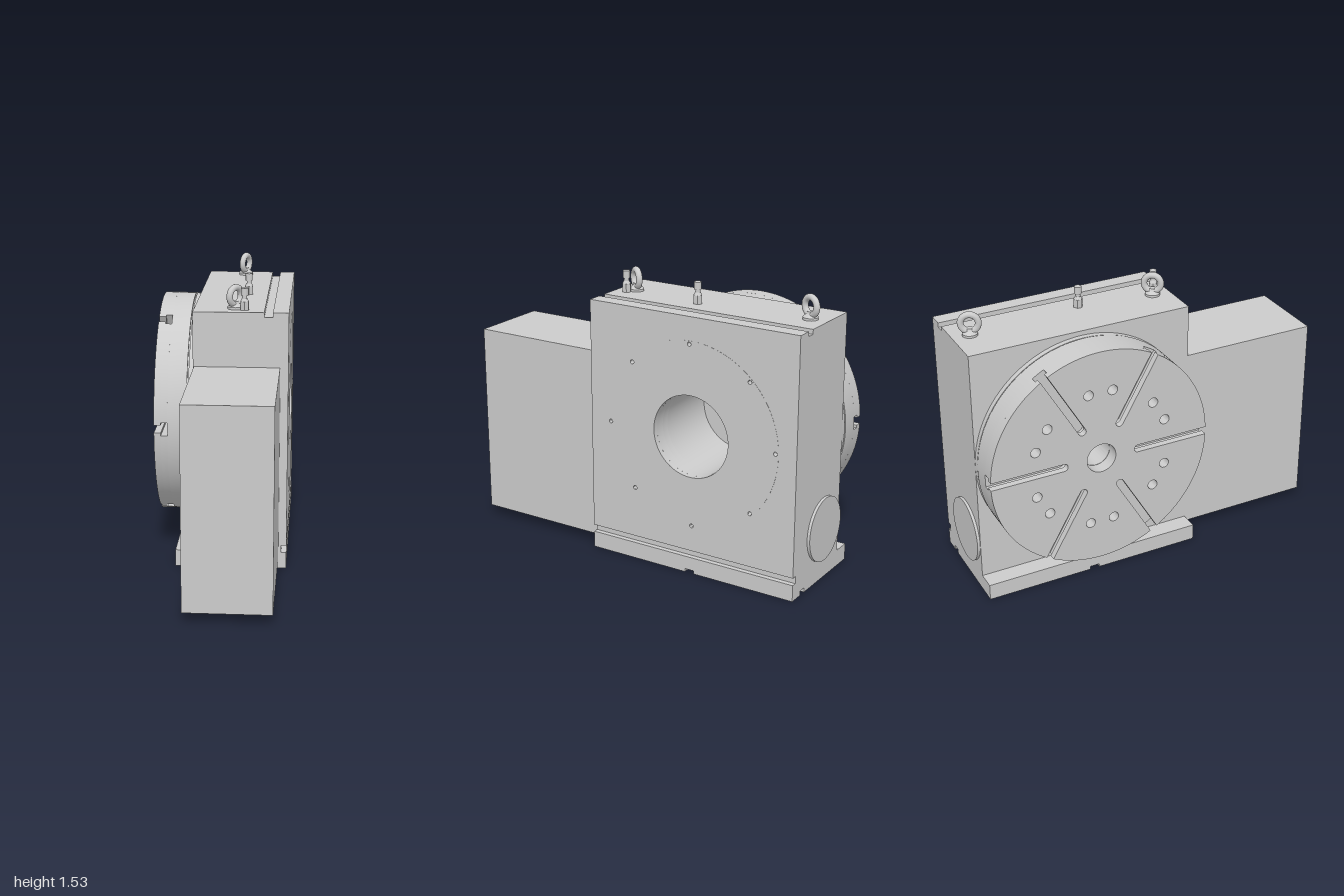
import * as THREE from 'three';
import { toCreasedNormals } from 'three/addons/utils/BufferGeometryUtils.js';

const material = new THREE.MeshStandardMaterial({ color: 0xcccccc });
const AXIS = [0.375, 0.765]; // spindle axis: (-z, y)

function add(group, name, geometry, x = 0, y = 0, z = 0) {
  const mesh = new THREE.Mesh(geometry, material);
  mesh.name = name;
  mesh.position.set(x, y, z);
  group.add(mesh);
  return mesh;
}

// Extrudes a shape drawn in (-z, y) from x0 to x1.
function slab(group, name, shape, x0, x1, segments = 24) {
  const g = new THREE.ExtrudeGeometry(shape, { depth: x1 - x0, bevelEnabled: false, curveSegments: segments });
  g.rotateY(Math.PI / 2);
  return add(group, name, toCreasedNormals(g, 0.5), x0);
}

function circle(r, cx = AXIS[0], cy = AXIS[1], Type = THREE.Shape) {
  return new Type().absarc(cx, cy, r, 0, Math.PI * 2, false);
}
const hole = (r, cx, cy) => circle(r, cx, cy, THREE.Path);

function polarHoles(shape, angles, radius, r) {
  for (const a of angles) {
    shape.holes.push(hole(r, AXIS[0] + radius * Math.cos(a), AXIS[1] + radius * Math.sin(a)));
  }
}

// Side outline of the body; the notch is the cross keyway in the underside.
function outline(y0, y1, bore = 0) {
  const s = new THREE.Shape();
  s.moveTo(-0.24, y0);
  if (y0 < 0.018) {
    s.lineTo(0.345, y0).lineTo(0.345, 0.018).lineTo(0.4, 0.018).lineTo(0.4, y0);
  }
  s.lineTo(0.985, y0).lineTo(0.985, y1).lineTo(-0.24, y1).closePath();
  if (bore) s.holes.push(hole(bore));
  return s;
}

// Face plate outline with six radial slots of half width w.
function slottedDisc(R, w) {
  const s = new THREE.Shape();
  const d = Math.asin(w / R), step = Math.PI / 3, inner = 0.21;
  for (let k = 0; k < 6; k++) {
    const a = k * step;
    s.absarc(AXIS[0], AXIS[1], R, a - step + d, a - d, false);
    s.absarc(AXIS[0] + inner * Math.cos(a), AXIS[1] + inner * Math.sin(a), w, a - Math.PI / 2, a + Math.PI / 2, true);
  }
  s.closePath();
  return s;
}

function eyeBolt(x, z, turn) {
  const g = new THREE.Group();
  g.name = 'eyeBolt';
  const profile = [[0, 0], [0.04, 0], [0.04, 0.012], [0.033, 0.02], [0.02, 0.028], [0.016, 0.04], [0, 0.04]];
  const collar = new THREE.LatheGeometry(profile.map(p => new THREE.Vector2(...p)), 24);
  add(g, 'eyeBoltCollar', toCreasedNormals(collar, 0.7));
  add(g, 'eyeBoltRing', new THREE.TorusGeometry(0.045, 0.017, 14, 36), 0, 0.067);
  g.position.set(x, 1.4, z);
  g.rotation.y = turn;
  return g;
}

function fitting(x, z) {
  const g = new THREE.Group();
  g.name = 'airFitting';
  const part = (name, r0, r1, y0, y1, n) => add(g, name,
    toCreasedNormals(new THREE.CylinderGeometry(r1, r0, y1 - y0, n), 0.5), 0, (y0 + y1) / 2);
  part('fittingHex', 0.025, 0.025, 0, 0.045, 6);
  part('fittingShoulder', 0.022, 0.014, 0.045, 0.06, 20);
  part('fittingNeck', 0.013, 0.013, 0.06, 0.075, 20);
  part('fittingTip', 0.019, 0.019, 0.075, 0.115, 20);
  g.position.set(x, 1.4, z);
  return g;
}

export function createModel() {
  const model = new THREE.Group();
  model.name = 'rotaryTable';

  // Body in slices along x, leaving the long T-grooves open
  const body = new THREE.Group();
  body.name = 'body';
  model.add(body);
  slab(body, 'baseFlange', outline(0, 0.09), -0.245, -0.145);
  slab(body, 'bodyMain', outline(0, 1.4, 0.222), -0.145, 0.225);
  slab(body, 'bodyGrooveSlice', outline(0.025, 1.375, 0.222), 0.225, 0.27);
  slab(body, 'bodyOuterSlice', outline(0, 1.4, 0.222), 0.27, 0.325);
  slab(body, 'bodyFootRail', outline(0, 0.09), 0.325, 0.353);
  slab(body, 'bodySidePlate', outline(0.13, 1.4, 0.51), 0.325, 0.353, 32);

  // Round bearing cover with screw holes and bore
  const cover = circle(0.51);
  cover.holes.push(hole(0.222));
  polarHoles(cover, Array.from({ length: 8 }, (_, i) => i * Math.PI / 4 + 0.02), 0.492, 0.011);
  slab(model, 'bearingCover', cover, 0.325, 0.354, 32);

  // Motor housing and round inspection cap on the rear
  add(model, 'motorHousing', new THREE.BoxGeometry(0.45, 1.055, 0.76), 0.085, 0.5825, 0.62);
  const cap = new THREE.CylinderGeometry(0.175, 0.175, 0.015, 64);
  cap.rotateX(Math.PI / 2);
  add(model, 'inspectionCap', toCreasedNormals(cap, 0.5), 0.035, 0.285, -0.9925);

  // Face plate: slot necks, slot heads, solid back, shadow gap and seat ring
  const plate = new THREE.Group();
  plate.name = 'facePlate';
  model.add(plate);
  const holeAngles = [];
  for (let k = 0; k < 6; k++) {
    const mid = Math.PI / 6 + k * Math.PI / 3;
    holeAngles.push(mid - Math.PI / 18, mid + Math.PI / 18);
  }
  const R = 0.612;
  for (const [name, w, x0, x1] of [['slotNeckLayer', 0.021, -0.355, -0.318], ['slotHeadLayer', 0.036, -0.318, -0.283]]) {
    const s = slottedDisc(R, w);
    s.holes.push(hole(0.082));
    polarHoles(s, holeAngles, 0.388, 0.027);
    slab(plate, name, s, x0, x1, 16);
  }
  for (const [name, r, x0, x1] of [['plateBack', R, -0.283, -0.182], ['plateGap', 0.598, -0.182, -0.175], ['seatRing', 0.61, -0.175, -0.145]]) {
    const s = circle(r);
    s.holes.push(hole(0.08));
    slab(plate, name, s, x0, x1, 48);
  }

  // Lifting eyes and fittings on top
  model.add(eyeBolt(0.07, -0.89, 1.16), eyeBolt(0.07, 0.14, 0.92));
  model.add(fitting(0.12, -0.27), fitting(0.12, 0.17));

  return model;
}
